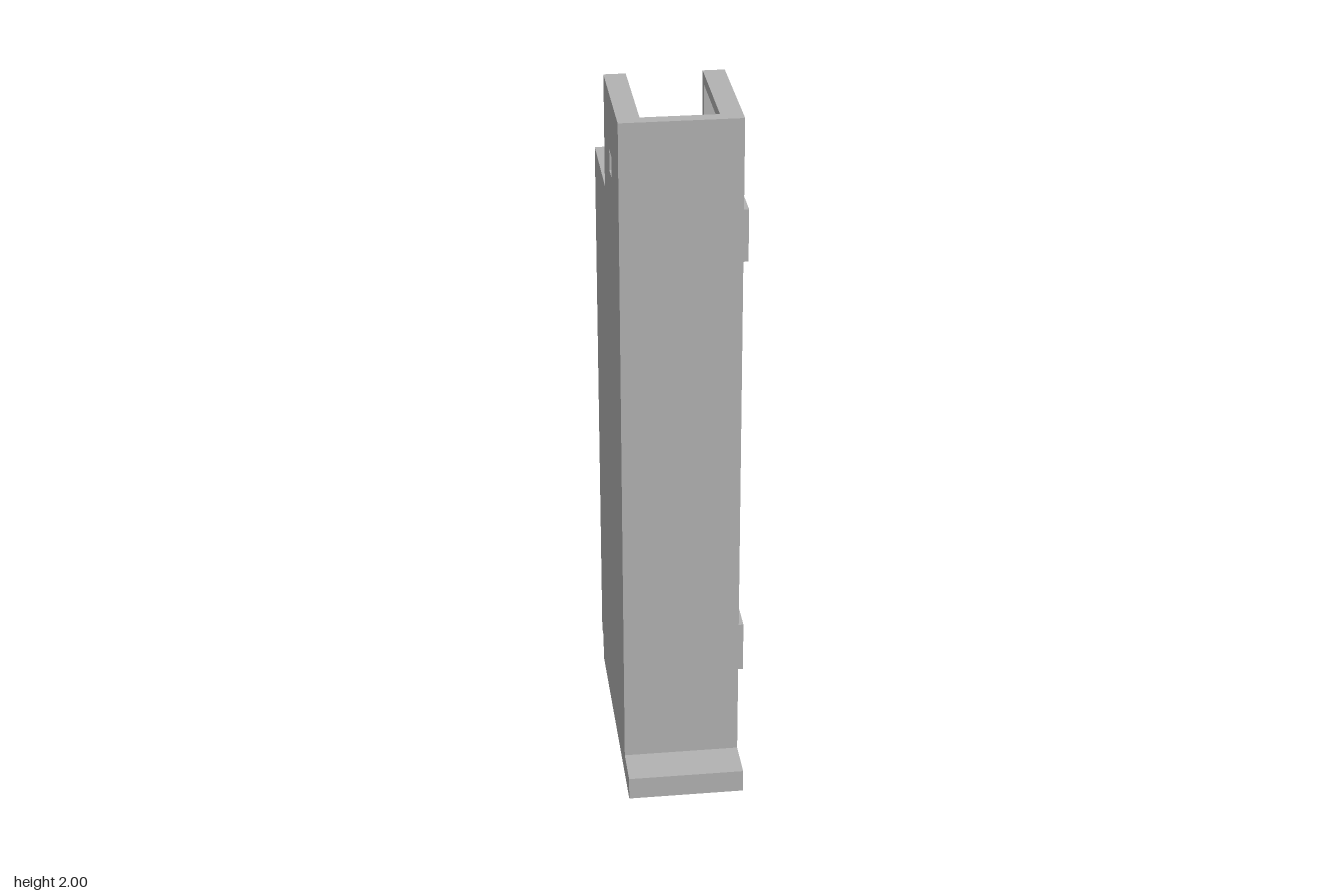
import * as THREE from 'three';

const gray = new THREE.MeshStandardMaterial({ color: 0xb2b2b2 });

export function createModel() {
  const model = new THREE.Group();

  const add = (name, geometry) => {
    const mesh = new THREE.Mesh(geometry, gray);
    mesh.name = name;
    model.add(mesh);
  };

  // Box given by its limits on each axis
  const box = (name, x0, x1, y0, y1, z0, z1) => {
    const g = new THREE.BoxGeometry(x1 - x0, y1 - y0, z1 - z0);
    g.translate((x0 + x1) / 2, (y0 + y1) / 2, (z0 + z1) / 2);
    add(name, g);
  };

  const polygon = (points) => new THREE.Shape(points.map(([a, b]) => new THREE.Vector2(a, b)));
  const rect = (a0, a1, b0, b1) => polygon([[a0, b0], [a1, b0], [a1, b1], [a0, b1]]);

  // Upright sheet: outline in (-z, y), extruded along x
  const sheet = (name, points, x0, x1) => {
    const shape = polygon(points);
    shape.holes.push(rect(-0.1, -0.04, 1.78, 1.84)); // square window
    const g = new THREE.ExtrudeGeometry(shape, { depth: x1 - x0, bevelEnabled: false });
    g.rotateY(Math.PI / 2).translate(x0, 0, 0);
    add(name, g);
  };

  // Flat slab: outline in (x, -z), extruded along y
  const slab = (name, shape, y0, y1) => {
    const g = new THREE.ExtrudeGeometry(shape, { depth: y1 - y0, bevelEnabled: false, curveSegments: 12 });
    g.rotateX(-Math.PI / 2).translate(0, y0, 0);
    add(name, g);
  };

  // Side walls; the left one has a cut-out at the bottom
  const upper = [[0.36, 0], [0.36, 0.08], [0.4, 0.08], [0.4, 1.68], [0.1, 1.68], [0.1, 2], [-0.28, 2], [-0.28, 0]];
  const cutout = [[-0.21, 0], [-0.21, 0.185], [0.07, 0.185], [0.07, 0]];
  sheet('rightWall', upper, -0.188, -0.16);
  sheet('leftWall', [...upper, ...cutout], 0.114, 0.14);

  // Front wall between the sides
  box('frontWall', -0.16, 0.114, 0, 2, 0.25, 0.28);

  // Thickened rim around the top and down the rear edges
  for (const [side, x0, x1] of [['right', -0.16, -0.128], ['left', 0.08, 0.114]]) {
    box(side + 'Rim', x0, x1, 1.97, 2, -0.07, 0.25);
    box(side + 'RearFlange', x0, x1, 1.68, 2, -0.1, -0.07);
  }
  box('frontRim', -0.128, 0.08, 1.97, 2, 0.243, 0.25);

  // Foot with two blind screw holes underneath
  const foot = rect(-0.188, 0.14, -0.4, -0.28);
  for (const x of [-0.11, 0.06]) {
    foot.holes.push(new THREE.Path().absarc(x, -0.345, 0.02, 0, Math.PI * 2, true));
  }
  slab('foot', foot, 0, 0.05);
  box('footTop', -0.188, 0.14, 0.05, 0.067, 0.28, 0.4);

  // Clips on the left wall, each with a pocket open at the top
  for (const [name, y] of [['lowerClip', 0.195], ['upperClip', 1.505]]) {
    const ring = rect(0.14, 0.187, -0.062, 0.065);
    ring.holes.push(rect(0.148, 0.175, -0.038, 0.042));
    slab(name, ring, y + 0.02, y + 0.153);
    box(name + 'Base', 0.14, 0.187, y, y + 0.02, -0.065, 0.062);
  }

  return model;
}
